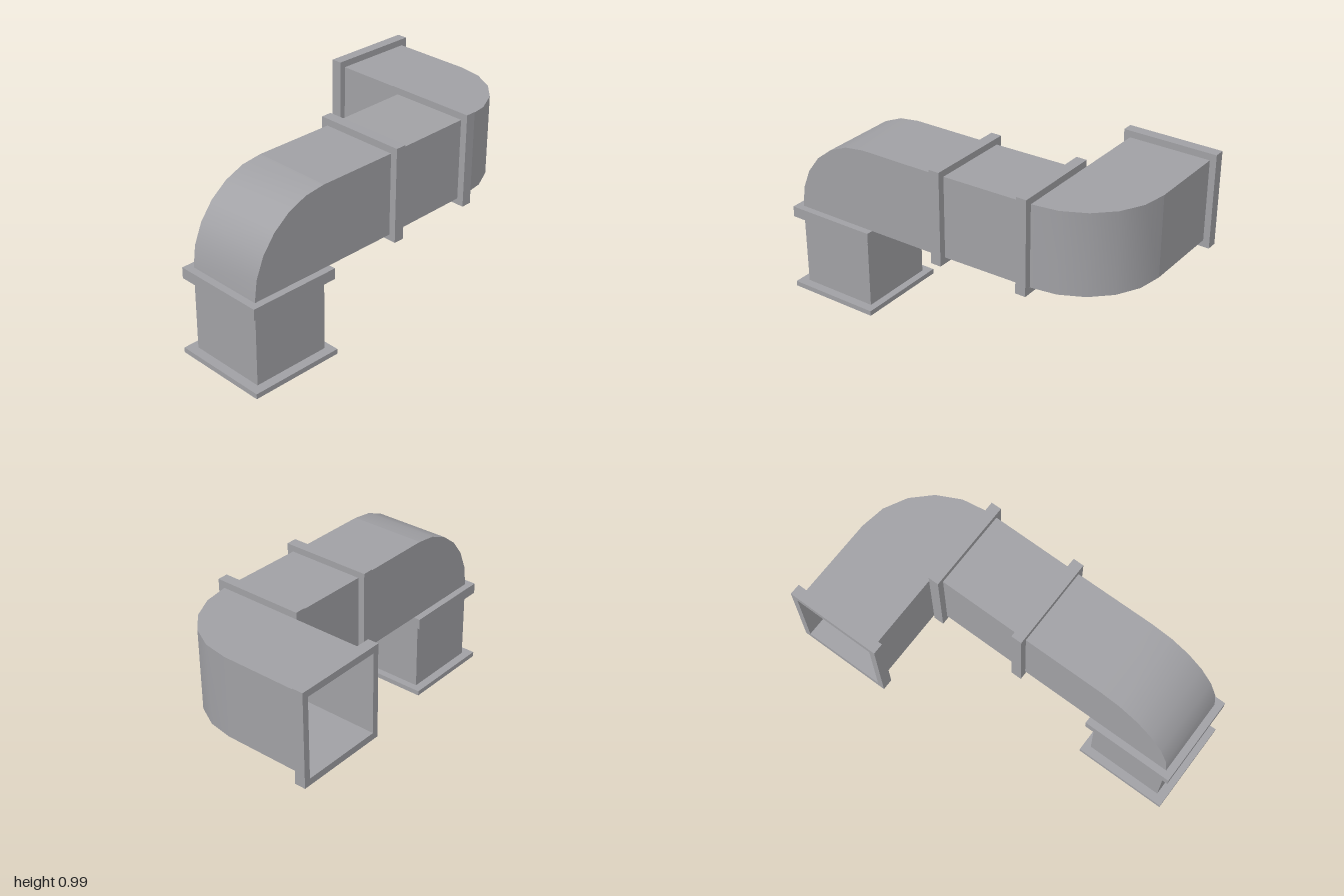
import * as THREE from 'three';

const ductGrey = new THREE.MeshStandardMaterial({ color: 0xa0a0a4, side: THREE.DoubleSide });
ductGrey.name = 'ductGrey';

// Thin-walled duct lofted through four-cornered sections; edges stay sharp, bends smooth
function duct(name, sections) {
  const group = new THREE.Group();
  group.name = name;
  for (let j = 0; j < 4; j++) {
    const pos = [], idx = [];
    sections.forEach((s, i) => {
      pos.push(...s[j], ...s[(j + 1) % 4]);
      if (i) {
        const a = 2 * i - 2;
        idx.push(a, a + 1, a + 3, a, a + 3, a + 2);
      }
    });
    const geo = new THREE.BufferGeometry();
    geo.setAttribute('position', new THREE.Float32BufferAttribute(pos, 3));
    geo.setIndex(idx);
    geo.computeVertexNormals();
    const wall = new THREE.Mesh(geo, ductGrey);
    wall.name = name + 'Wall';
    group.add(wall);
  }
  return group;
}

function rect(P, u0, u1, v0, v1) {
  const p = new P();
  p.moveTo(u0, v0);
  p.lineTo(u1, v0);
  p.lineTo(u1, v1);
  p.lineTo(u0, v1);
  p.closePath();
  return p;
}

// Flat plate with holes, extruded along an axis
// (y: u = x, v = -z;  x: u = -z, v = y;  z: u = x, v = y)
function plate(name, axis, from, to, outer, holes) {
  const shape = rect(THREE.Shape, ...outer);
  shape.holes = holes;
  const geo = new THREE.ExtrudeGeometry(shape, { depth: to - from, bevelEnabled: false, curveSegments: 6 });
  geo.translate(0, 0, from);
  if (axis === 'y') geo.rotateX(-Math.PI / 2);
  if (axis === 'x') geo.rotateY(Math.PI / 2);
  const mesh = new THREE.Mesh(geo, ductGrey);
  mesh.name = name;
  return mesh;
}

const flange = (name, axis, from, to, outer, inner) =>
  plate(name, axis, from, to, outer, [rect(THREE.Path, ...inner)]);

export function createModel() {
  const model = new THREE.Group();
  model.name = 'airDuct';
  const x0 = 0.01, x1 = 0.45;

  // Outlet grille with rounded slots
  const slots = [];
  for (let i = 0; i < 6; i++) {
    const v = -0.735 + (i - 2.5) * 0.048, r = 0.011, half = 0.12;
    const slot = new THREE.Path();
    slot.absarc(0.23 + half, v, r, -Math.PI / 2, Math.PI / 2);
    slot.absarc(0.23 - half, v, r, Math.PI / 2, Math.PI * 1.5);
    slot.closePath();
    slots.push(slot);
  }
  model.add(plate('outletGrille', 'y', 0, 0.028, [-0.037, 0.5, -1, -0.47], slots));

  // Vertical drop and its collar
  const upright = y => [[x0, y, 0.95], [x1, y, 0.95], [x1, y, 0.51], [x0, y, 0.51]];
  model.add(duct('verticalDuct', [upright(0.028), upright(0.49)]));
  model.add(flange('lowerCollar', 'y', 0.43, 0.49, [-0.028, 0.488, -0.99, -0.475], [x0, x1, -0.95, -0.51]));

  // Elbow turning from vertical to horizontal
  const bend = [];
  for (let i = 0; i <= 6; i++) {
    const a = (i / 6) * Math.PI / 2;
    const y = 0.49 + 0.45 * Math.sin(a), z = 0.51 + 0.44 * Math.cos(a);
    bend.push([[x0, y, z], [x1, y, z], [x1, 0.49, 0.51], [x0, 0.49, 0.51]]);
  }
  model.add(duct('verticalElbow', bend));

  // Horizontal run with its two collars
  const level = (z, y) => [[x0, y + 0.45, z], [x1, y + 0.45, z], [x1, y, z], [x0, y, z]];
  model.add(duct('frontRun', [level(0.51, 0.49), level(0.03, 0.492)]));
  model.add(flange('middleCollar', 'z', 0, 0.06, [-0.028, 0.488, 0.46, 0.98], [x0, x1, 0.494, 0.942]));
  model.add(duct('backRun', [level(0.03, 0.494), level(-0.51, 0.503)]));
  model.add(flange('backCollar', 'z', -0.51, -0.452, [-0.028, 0.488, 0.468, 0.99], [x0, x1, 0.503, 0.953]));

  // Elbow turning sideways, then the open inlet
  const side = (xi, zi, xo, zo) => [[xi, 0.953, zi], [xo, 0.953, zo], [xo, 0.503, zo], [xi, 0.503, zi]];
  const turn = [];
  for (let i = 0; i <= 5; i++) {
    const a = (i / 5) * Math.PI / 2;
    turn.push(side(x0, -0.51, x0 + 0.44 * Math.cos(a), -0.51 - 0.455 * Math.sin(a)));
  }
  model.add(duct('sideElbow', turn));
  model.add(duct('inletDuct', [side(x0, -0.51, x0, -0.965), side(-0.5, -0.51, -0.5, -0.965)]));
  model.add(flange('inletFlange', 'x', -0.5, -0.44, [0.475, 1, 0.465, 0.99], [0.51, 0.965, 0.503, 0.953]));

  return model;
}
